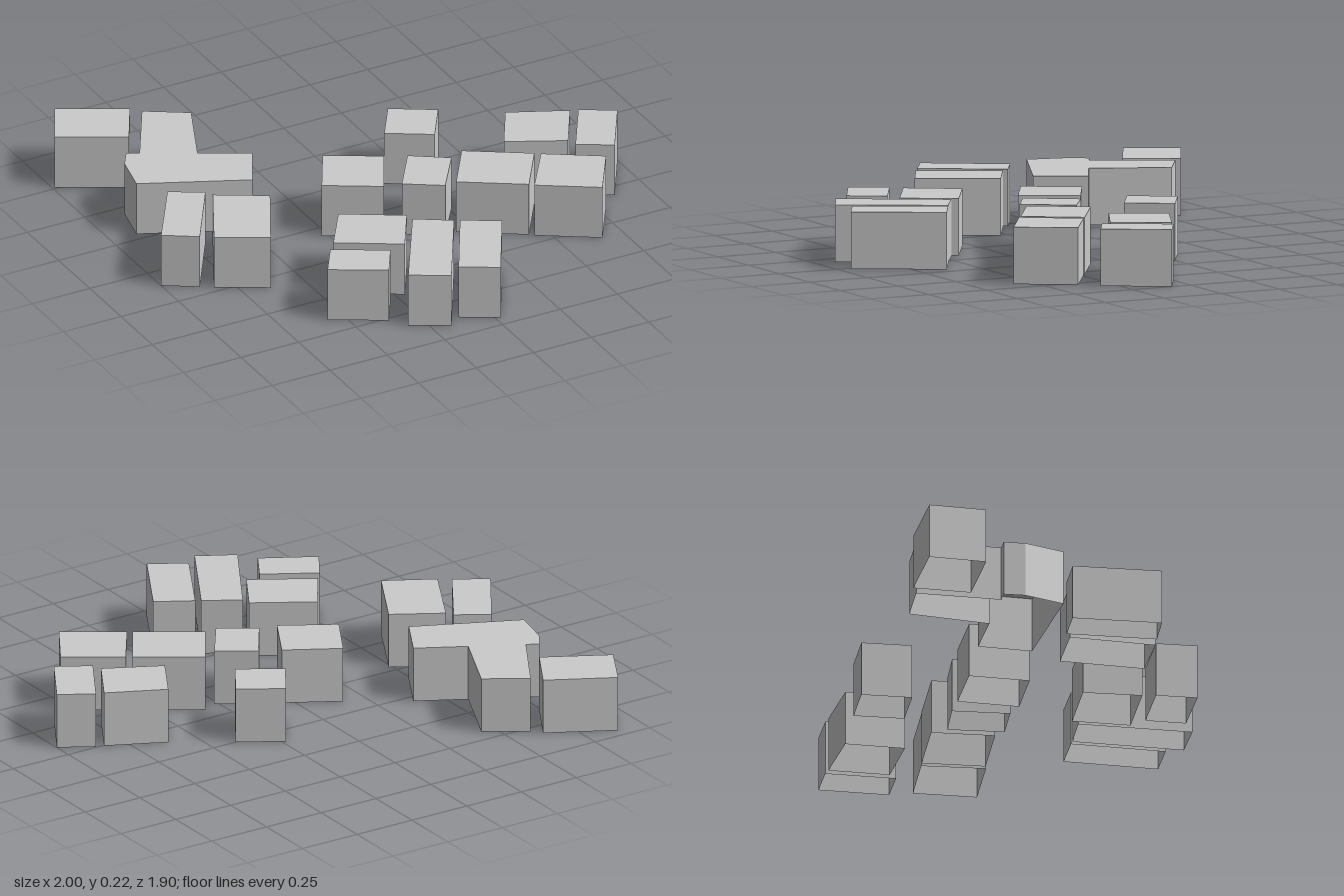
import * as THREE from 'three';
import { mergeGeometries } from 'three/addons/utils/BufferGeometryUtils.js';

const HEIGHT = 0.22;

// Footprints as [x, z] corners, clockwise seen from above, starting at the back.
const houses = [
  [[-0.885, -0.955], [-0.63, -0.82], [-0.74, -0.625], [-0.99, -0.76]],
  [[-0.815, -0.18], [-0.69, -0.105], [-0.875, 0.19], [-1, 0.11]],
  [[-0.675, -0.075], [-0.485, 0.035], [-0.64, 0.325], [-0.83, 0.22]],
  [[-0.16, -0.145], [0.045, -0.03], [-0.07, 0.18], [-0.275, 0.06]],
  [[0.125, 0.01], [0.265, 0.105], [0.14, 0.285], [0, 0.195]],
  [[0.325, 0.075], [0.56, 0.225], [0.425, 0.43], [0.19, 0.28]],
  [[0.58, 0.24], [0.79, 0.375], [0.66, 0.585], [0.44, 0.445]],
  [[0.615, -0.11], [0.84, -0.005], [0.72, 0.2], [0.5, 0.09]],
  [[0.87, 0.005], [1, 0.08], [0.86, 0.315], [0.73, 0.24]],
  [[0.235, -0.35], [0.4, -0.25], [0.295, -0.085], [0.13, -0.185]],
  [[-0.325, 0.285], [-0.1, 0.42], [-0.215, 0.615], [-0.45, 0.475]],
  [[-0.485, 0.515], [-0.285, 0.63], [-0.365, 0.765], [-0.57, 0.65]],
  [[-0.095, 0.455], [0.04, 0.54], [-0.175, 0.915], [-0.32, 0.835]],
  [[0.06, 0.55], [0.2, 0.63], [0.02, 0.95], [-0.12, 0.87]],
];

const lShape = [
  [-0.6, -0.78], [-0.44, -0.68], [-0.57, -0.39], [-0.385, -0.29], [-0.485, -0.105],
  [-0.89, -0.29], [-0.855, -0.45], [-0.81, -0.52], [-0.765, -0.495],
];

// Flat roof and outer walls over a footprint, open underneath.
function shellGeometry(outline) {
  const shape = new THREE.Shape(outline.map(([x, z]) => new THREE.Vector2(x, -z)));
  const roof = new THREE.ShapeGeometry(shape).rotateX(-Math.PI / 2).translate(0, HEIGHT, 0).toNonIndexed();
  roof.deleteAttribute('uv');

  const positions = [];
  outline.forEach(([px, pz], i) => {
    const [qx, qz] = outline[(i + 1) % outline.length];
    positions.push(qx, 0, qz, px, 0, pz, px, HEIGHT, pz);
    positions.push(qx, 0, qz, px, HEIGHT, pz, qx, HEIGHT, qz);
  });
  const walls = new THREE.BufferGeometry();
  walls.setAttribute('position', new THREE.Float32BufferAttribute(positions, 3));
  walls.computeVertexNormals();
  return mergeGeometries([roof, walls]);
}

export function createModel() {
  const group = new THREE.Group();
  group.name = 'buildingBlocks';
  const material = new THREE.MeshStandardMaterial({
    color: 0xcccccc, flatShading: true, side: THREE.DoubleSide,
  });

  const addBuilding = (outline, name) => {
    const mesh = new THREE.Mesh(shellGeometry(outline), material);
    mesh.name = name;
    group.add(mesh);
  };

  // Rectangular houses
  houses.forEach((outline, i) => addBuilding(outline, `house${i + 1}`));
  // Large angled building
  addBuilding(lShape, 'lShapedBuilding');

  return group;
}
